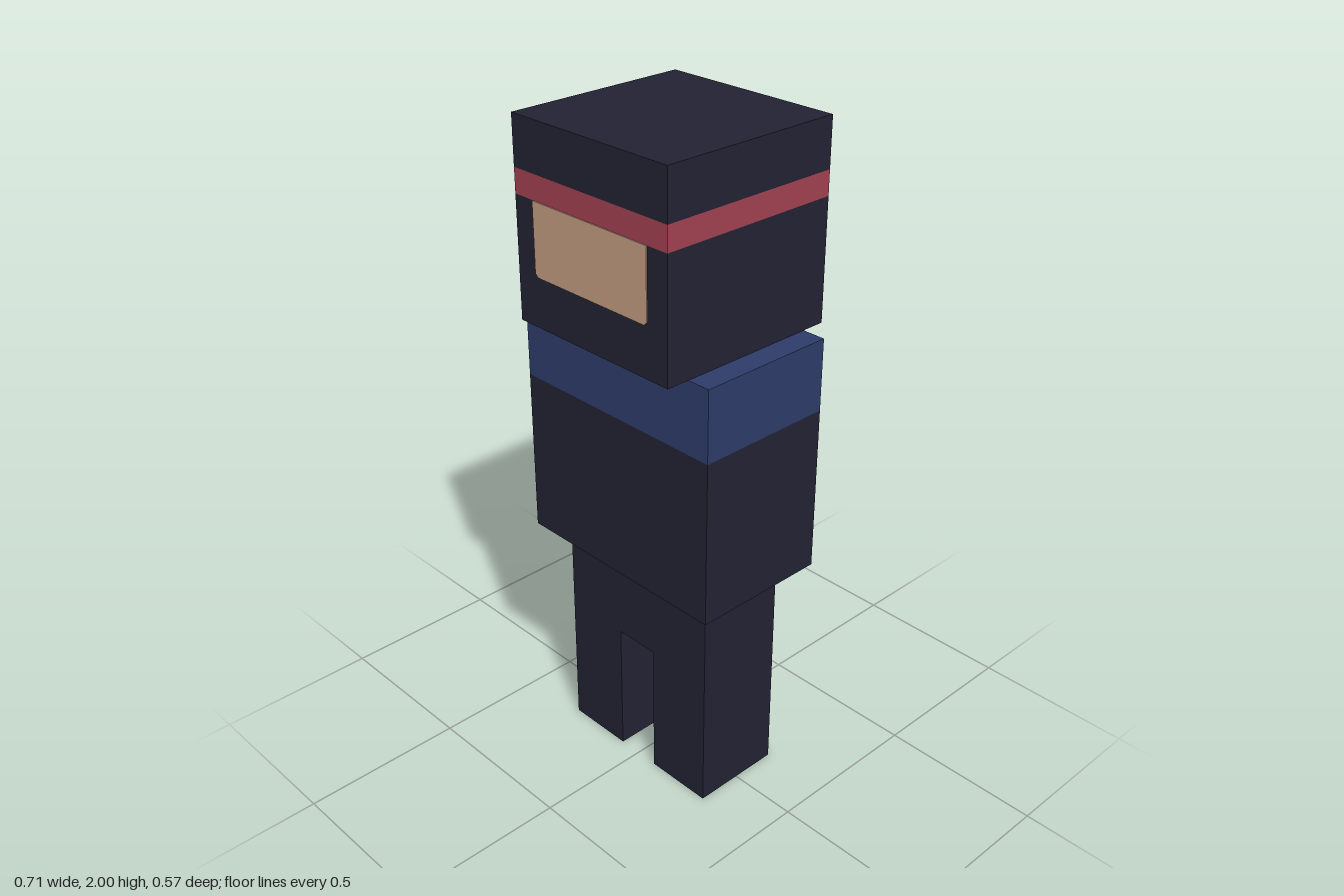
import * as THREE from 'three';

const U = 1 / 7; // block unit: the figure is 14 units tall

const paint = (name, color) => {
  const m = new THREE.MeshStandardMaterial({ color });
  m.name = name;
  return m;
};

export function createModel() {
  const dark = paint('dark cloth', 0x222233);
  const blue = paint('blue cloth', 0x2d3b69);
  const red = paint('red band', 0xa03f50);
  const skin = paint('skin', 0xc19b7e);

  const model = new THREE.Group();
  model.name = 'blockFigure';

  const add = (name, geometry, material, parent = model) => {
    const mesh = new THREE.Mesh(geometry, material);
    mesh.name = name;
    parent.add(mesh);
    return mesh;
  };
  // Box layer between two heights, centred on x and z (in block units)
  const layer = (name, w, d, y0, y1, material, parent) => {
    const mesh = add(name, new THREE.BoxGeometry(w * U, (y1 - y0) * U, d * U), material, parent);
    mesh.position.y = (y0 + y1) / 2 * U;
  };
  const polygon = (points) =>
    new THREE.Shape(points.map(([x, y]) => new THREE.Vector2(x * U, y * U)));

  // Trousers: hips and two legs in one arch-shaped block
  const trousers = polygon([
    [-2, 0], [-0.5, 0], [-0.5, 3], [0.5, 3], [0.5, 0], [2, 0], [2, 5], [-2, 5],
  ]);
  add('trousers', new THREE.ExtrudeGeometry(trousers, { depth: 2 * U, bevelEnabled: false }), dark)
    .position.z = -U;

  // Torso with blue shoulders
  const torso = new THREE.Group();
  torso.name = 'torso';
  model.add(torso);
  layer('lowerTorso', 5, 3, 5, 8.5, dark, torso);
  layer('shoulders', 5, 3, 8.5, 10, blue, torso);

  // Hooded head with a headband all round
  const head = new THREE.Group();
  head.name = 'head';
  model.add(head);
  layer('lowerHood', 4, 4, 10, 12.5, dark, head);
  layer('headband', 4, 4, 12.5, 13, red, head);
  layer('upperHood', 4, 4, 13, 14, dark, head);

  // Face plate with clipped lower corners
  const face = polygon([
    [-1.5, 12.5], [-1.5, 11.1], [-1.43, 11.03], [1.43, 11.03], [1.5, 11.1], [1.5, 12.5],
  ]);
  add('face', new THREE.ExtrudeGeometry(face, { depth: 0.003, bevelEnabled: false }), skin, head)
    .position.z = 2 * U;

  return model;
}
